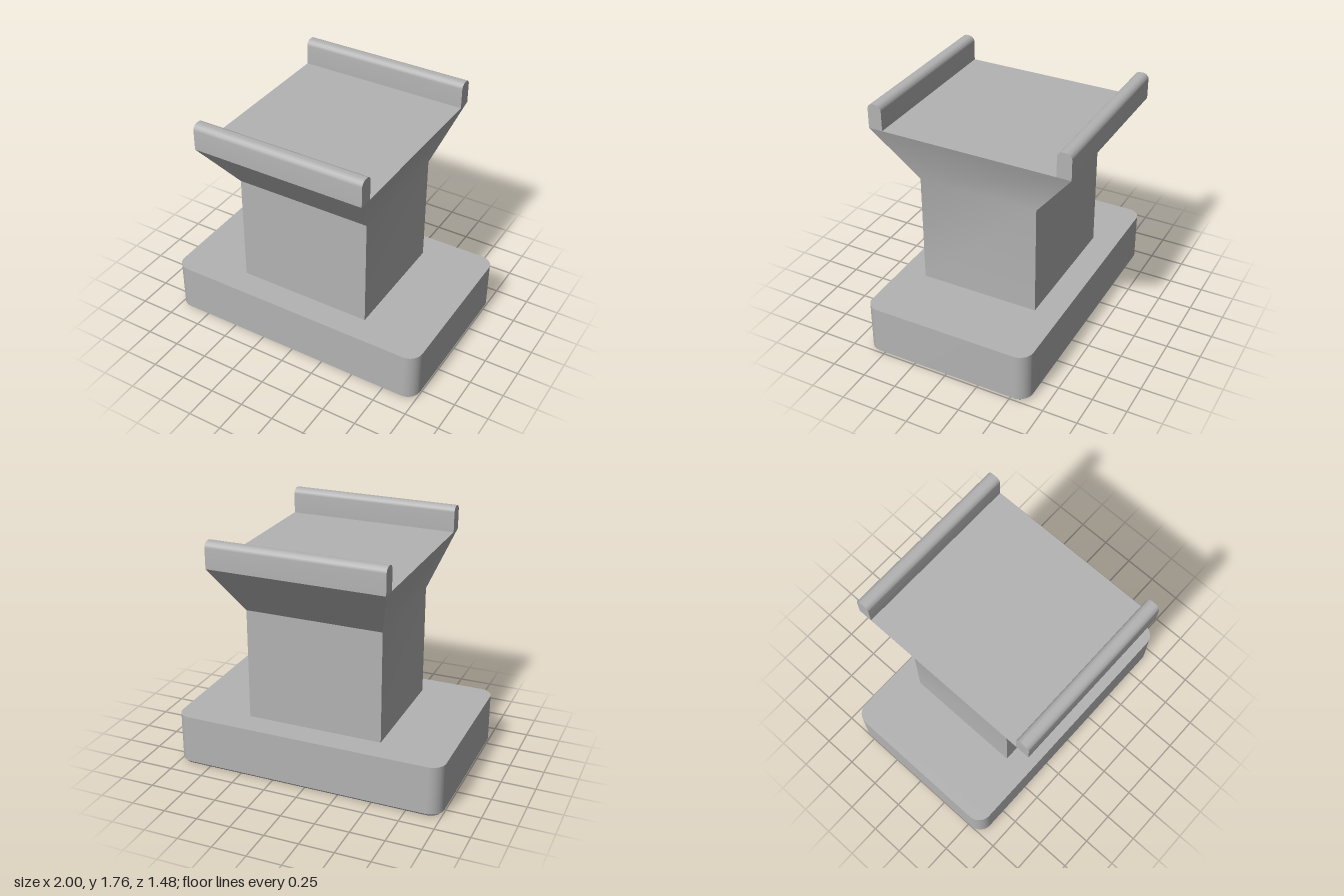
import * as THREE from 'three';
import { toCreasedNormals } from 'three/addons/utils/BufferGeometryUtils.js';

// Skin stacked rows of points (each row runs left to right seen from outside, rows go up)
function skin(rows) {
  const n = rows[0].length, index = [];
  for (let r = 0; r < rows.length - 1; r++)
    for (let i = 0; i < n - 1; i++) {
      const a = r * n + i, b = a + 1, c = a + n, d = c + 1;
      index.push(a, b, d, a, d, c);
    }
  const g = new THREE.BufferGeometry();
  g.setAttribute('position', new THREE.Float32BufferAttribute(rows.flat(2), 3));
  g.setIndex(index);
  g.computeVertexNormals();
  return g;
}

function roundedRect(w, d, r) {
  const s = new THREE.Shape(), h = Math.PI / 2;
  s.absarc(w - r, d - r, r, 0, h);
  s.absarc(r - w, d - r, r, h, 2 * h);
  s.absarc(r - w, r - d, r, 2 * h, 3 * h);
  s.absarc(w - r, r - d, r, 3 * h, 4 * h);
  s.closePath();
  return s;
}

export function createModel() {
  const model = new THREE.Group();
  const grey = new THREE.MeshStandardMaterial({ color: 0xb3b3b3 });
  grey.name = 'grey';
  const add = (name, geometry, parent = model) => {
    const mesh = new THREE.Mesh(geometry, grey);
    mesh.name = name;
    parent.add(mesh);
    return mesh;
  };
  const baseTop = 0.38, neckTop = 1.2, trayY = 1.58, top = 1.765, chamfer = 0.02;

  // Base: rounded block with a chamfered foot
  const base = new THREE.Group();
  base.name = 'base';
  model.add(base);
  const outer = roundedRect(1, 0.63, 0.1);
  const inner = roundedRect(1 - chamfer, 0.63 - chamfer, 0.1 - chamfer);
  const ring = (shape, y) => shape.getPoints(12).map(p => [p.x, y, -p.y]);
  add('baseWall', toCreasedNormals(skin([ring(inner, 0), ring(outer, chamfer), ring(outer, baseTop)]), 0.5), base);
  add('baseTop', new THREE.ShapeGeometry(outer, 12).rotateX(-Math.PI / 2).translate(0, baseTop, 0), base);

  // Underside with two long recessed slots
  const slotX = 0.89, slotW = 0.3, slotH = 0.12;
  for (const z of [-0.25, 0.25]) {
    const a = z - slotW / 2, b = z + slotW / 2;
    inner.holes.push(new THREE.Path([
      new THREE.Vector2(-slotX, a), new THREE.Vector2(-slotX, b),
      new THREE.Vector2(slotX, b), new THREE.Vector2(slotX, a)]));
    // Inside-out box without its bottom face
    const slot = new THREE.BoxGeometry(2 * slotX, slotH, slotW).translate(0, slotH / 2, z);
    const faces = Array.from(slot.index.array);
    faces.splice(18, 6);
    slot.setIndex(faces.reverse());
    slot.clearGroups();
    slot.computeVertexNormals();
    add('slot', slot, base);
  }
  add('baseUnderside', new THREE.ShapeGeometry(inner, 12).rotateX(Math.PI / 2), base);

  // Neck and flared head: sides blend smoothly, front and back stay creased
  const levels = [[baseTop, 0.5, 0.44], [neckTop, 0.5, 0.44], [trayY, 0.63, 0.74]];
  for (const s of [1, -1]) {
    add('neckSide', skin(levels.map(([y, x, z]) => [[s * x, y, s * z], [s * x, y, -s * z]])));
    const face = levels.map(([y, x, z]) => [[-s * x, y, s * z], [s * x, y, s * z]]);
    add('neckFace', skin(face.slice(0, 2)));
    add('flareFace', skin(face.slice(1)));
  }
  add('tray', new THREE.PlaneGeometry(1.26, 1.48).rotateX(-Math.PI / 2).translate(0, trayY, 0));

  // Rails with rounded tops along front and back
  const w = 0.0515, r = 0.042;
  const profile = new THREE.Shape();
  profile.moveTo(-w, trayY);
  profile.lineTo(w, trayY);
  profile.absarc(w - r, top - r, r, 0, Math.PI / 2);
  profile.absarc(r - w, top - r, r, Math.PI / 2, Math.PI);
  profile.closePath();
  const rail = toCreasedNormals(
    new THREE.ExtrudeGeometry(profile, { depth: 1.26, bevelEnabled: false, curveSegments: 8 })
      .rotateY(-Math.PI / 2).translate(0.63, 0, 0), 0.5);
  add('frontRail', rail).position.z = 0.74 - w;
  add('backRail', rail).position.z = w - 0.74;

  return model;
}
